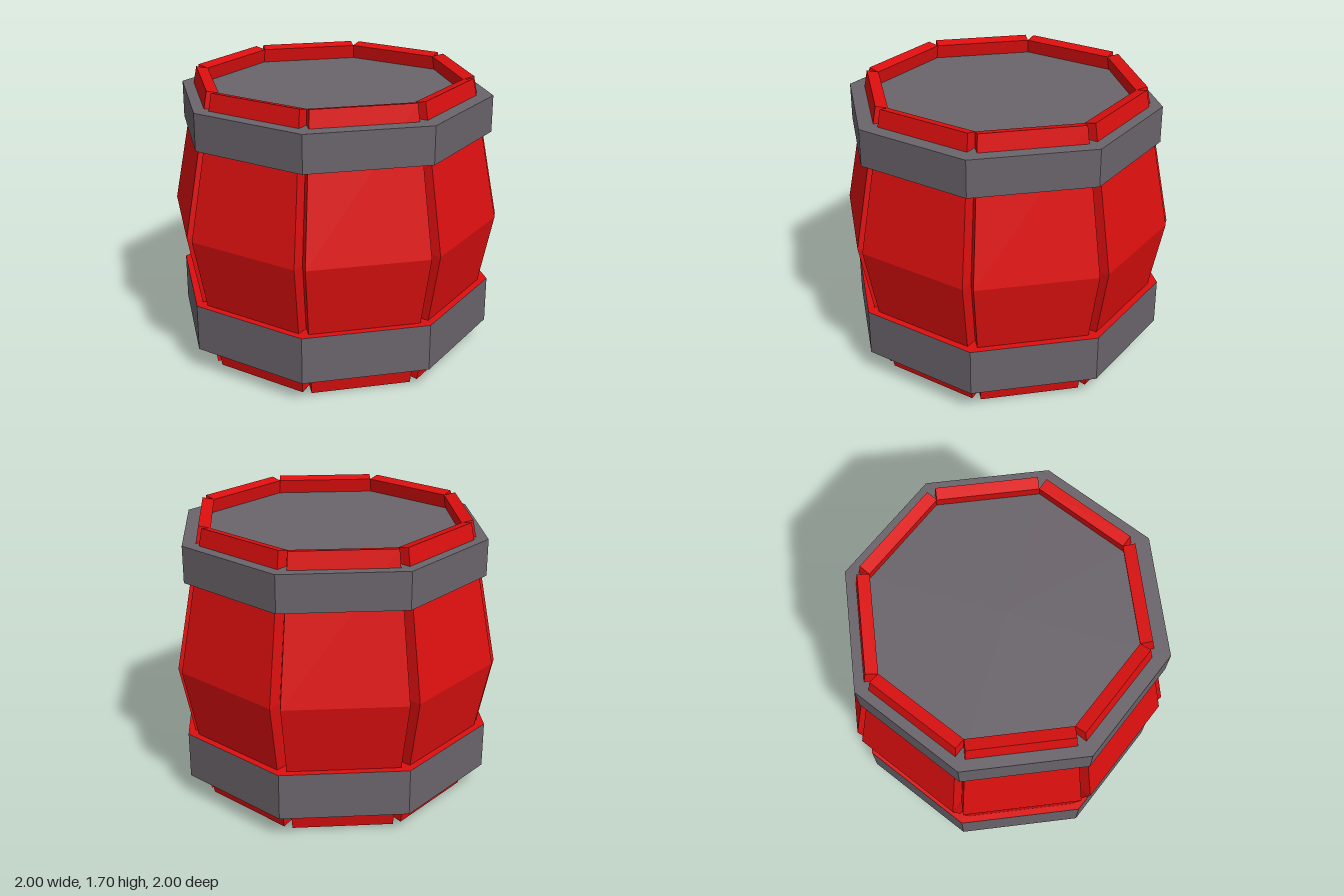
import * as THREE from 'three';

const SIDES = 8;
const HEIGHT = 1.7;
const red = new THREE.MeshStandardMaterial({ color: 0xdd0f0f, flatShading: true });
const grey = new THREE.MeshStandardMaterial({ color: 0x6a646b, flatShading: true });

// Bent plank: a box with a middle row, bulged outward there and narrowed at the ends
function staveGeometry() {
  const box = new THREE.BoxGeometry(2, 2, 2, 1, 2, 1);
  const p = box.attributes.position;
  for (let i = 0; i < p.count; i++) {
    const row = Math.round(p.getY(i)); // -1 bottom, 0 middle, 1 top
    const outer = p.getZ(i) > 0;
    const halfWidth = row ? 0.295 : 0.354;
    const distance = row ? (outer ? 0.78 : 0.711) : (outer ? 0.935 : 0.85);
    // end faces are square to the slanted plank, so their inner edge sits lower
    const y = HEIGHT / 2 + row * (HEIGHT / 2 - (outer ? 0 : 0.015));
    p.setXYZ(i, Math.sign(p.getX(i)) * halfWidth, y, distance);
  }
  const flat = box.toNonIndexed();
  flat.computeVertexNormals();
  return flat;
}

// Solid octagonal band; its flat ends also close the barrel as lid and base
function hoop(name, radius, y0, y1, topMaterial) {
  const geometry = new THREE.CylinderGeometry(radius, radius, y1 - y0, SIDES);
  const mesh = new THREE.Mesh(geometry, [grey, topMaterial, grey]);
  mesh.name = name;
  mesh.position.y = (y0 + y1) / 2;
  return mesh;
}

export function createModel() {
  const barrel = new THREE.Group();
  barrel.name = 'barrel';

  // Ring of staves, one per side
  const staves = new THREE.Group();
  staves.name = 'staves';
  const geometry = staveGeometry();
  for (let i = 0; i < SIDES; i++) {
    const stave = new THREE.Mesh(geometry, red);
    stave.name = `stave${i + 1}`;
    stave.rotation.y = ((i + 0.5) / SIDES) * Math.PI * 2;
    staves.add(stave);
  }
  barrel.add(staves);

  // Hoops
  const upper = hoop('upperHoopAndLid', 0.94, 1.38, 1.6, grey);
  upper.position.z = 0.015;
  barrel.add(upper, hoop('lowerHoopAndBase', 0.972, 0.14, 0.425, red));

  return barrel;
}
